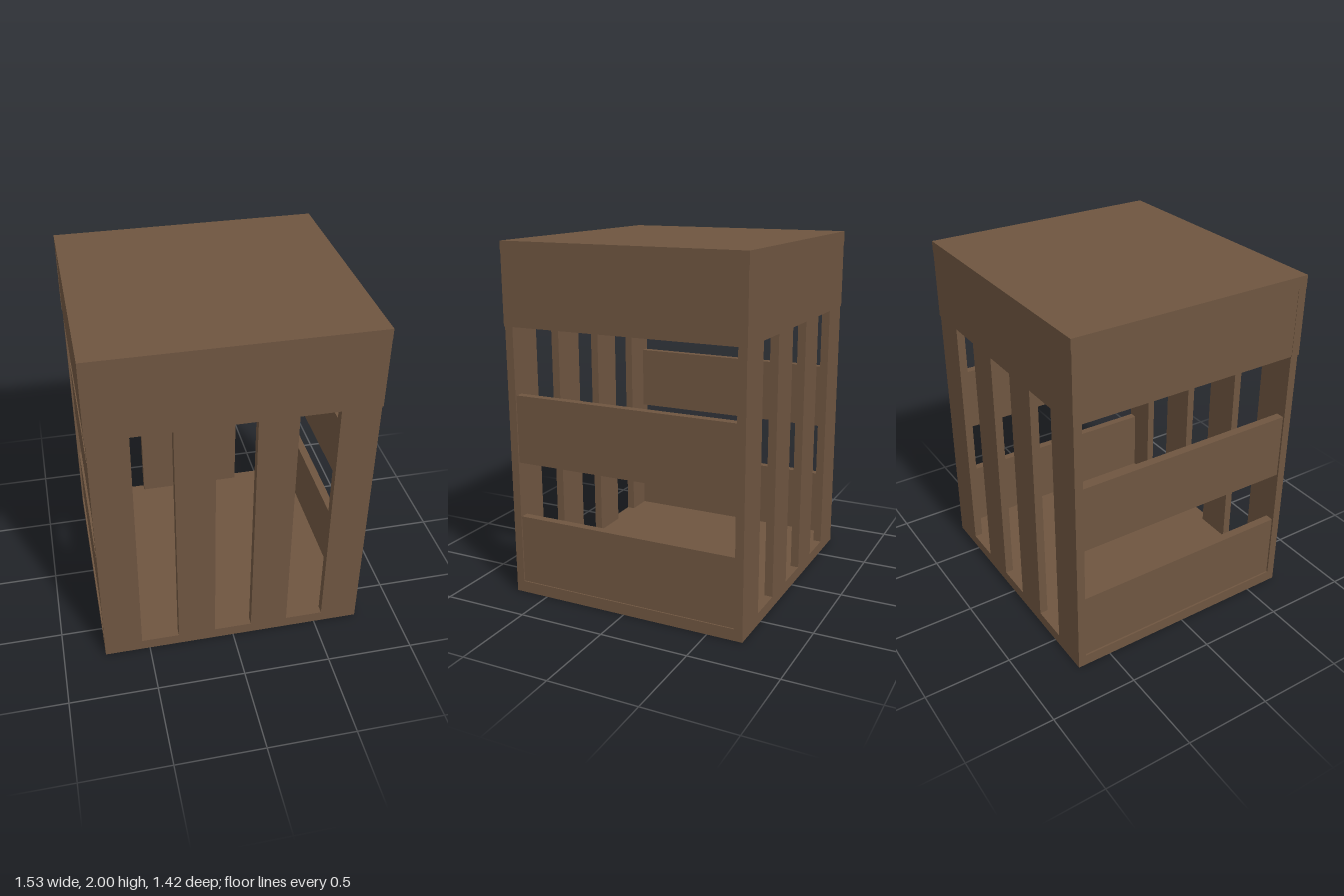
import * as THREE from 'three';

export function createModel() {
  const group = new THREE.Group();
  group.name = 'slattedCrate';
  const wood = new THREE.MeshStandardMaterial({ color: 0x6e5540 });
  wood.name = 'brown wood';

  // Board given by its extents on each axis
  const board = (name, x0, x1, y0, y1, z0, z1) => {
    const mesh = new THREE.Mesh(new THREE.BoxGeometry(x1 - x0, y1 - y0, z1 - z0), wood);
    mesh.position.set((x0 + x1) / 2, (y0 + y1) / 2, (z0 + z1) / 2);
    mesh.name = name;
    group.add(mesh);
  };

  const floorTop = 0.066, bandBottom = 1.545, lidBottom = 1.934;

  board('floor', -0.76, 0.758, 0, floorTop, -0.702, 0.702);
  board('lid', -0.765, 0.763, lidBottom, 2, -0.708, 0.708);

  for (const s of [-1, 1]) {
    const span = (a, b) => (s > 0 ? [a, b] : [-b, -a]);
    const end = s > 0 ? 'front' : 'back';
    const side = s > 0 ? 'left' : 'right';

    // Upright slats on the front and back
    for (let i = 0; i < 4; i++) {
      const x = -0.76 + i * 0.434;
      board(end + 'Slat', x, x + 0.216, floorTop, bandBottom, ...span(0.655, 0.702));
    }

    // Level slats on the sides, set in between the uprights
    for (const [y0, y1] of [[floorTop, 0.46], [0.78, 1.165]])
      board(side + 'Slat', ...span(0.702, 0.75), y0, y1, -0.655, 0.655);

    // Broad band under the lid
    board(end + 'Band', -0.765, 0.763, bandBottom, lidBottom, ...span(0.656, 0.706));
    board(side + 'Band', ...span(0.713, 0.763), bandBottom, lidBottom, -0.656, 0.656);
  }
  return group;
}
